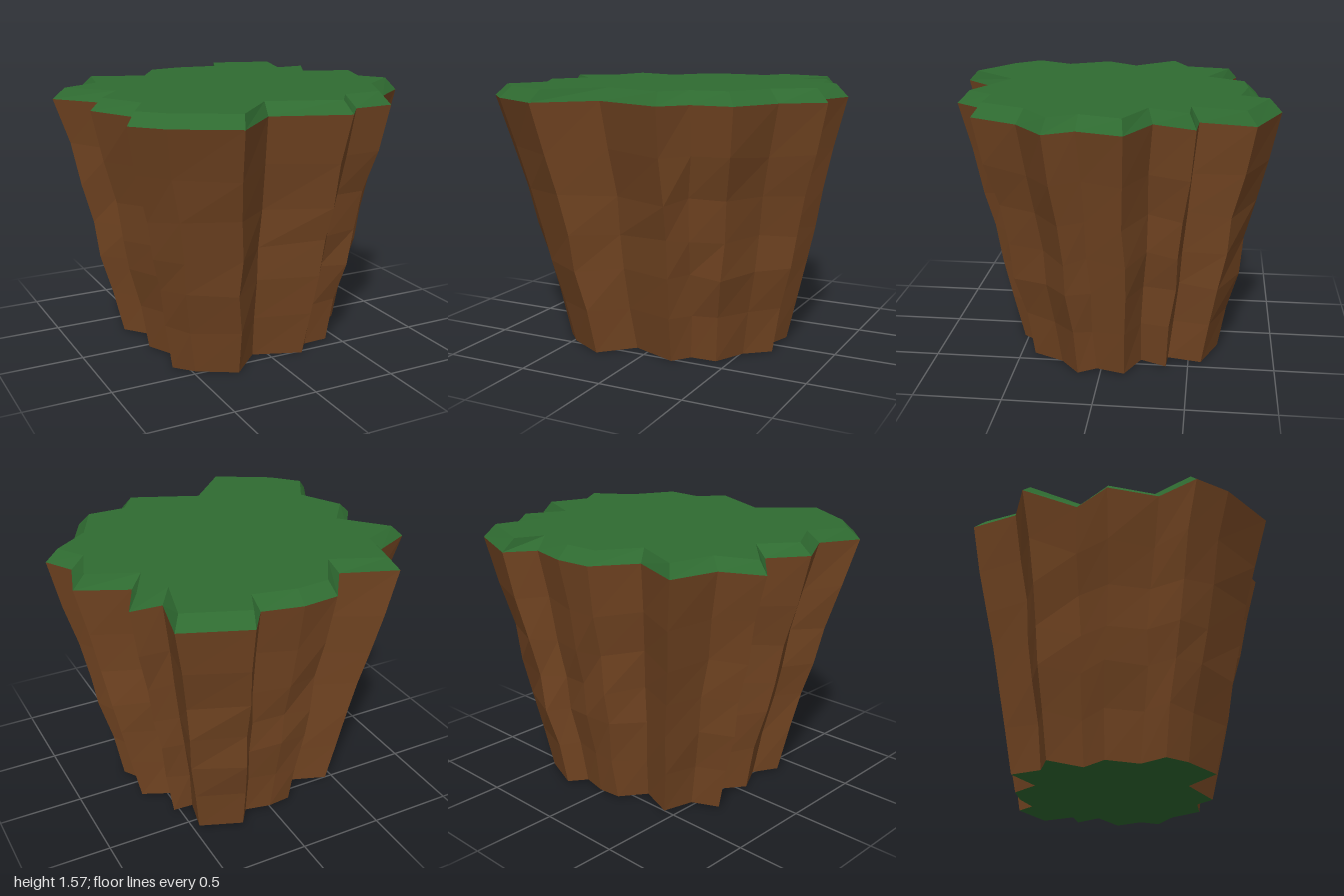
import * as THREE from 'three';

// Jagged rim outline as [x, z], clockwise seen from above, starting at the back
const RIM = [
  [0.33, -0.976], [0.70, -0.83], [0.63, -0.53], [0.81, -0.52], [0.70, -0.29],
  [0.98, -0.16], [0.90, 0.09], [0.995, 0.25], [0.78, 0.42], [0.64, 0.695],
  [0.40, 0.705], [0.28, 0.86], [-0.15, 0.70], [-0.425, 0.97], [-0.76, 0.78],
  [-0.91, 0.62], [-0.79, 0.39], [-0.93, 0.12], [-0.78, -0.09], [-1.0, -0.35],
  [-0.77, -0.46], [-0.70, -0.74], [-0.38, -0.62], [-0.22, -0.85], [-0.01, -0.87],
  [0.22, -0.82],
];
// Trunk levels as [height, scale]
const LEVELS = [
  [0.007, 0.65], [0.27, 0.705], [0.52, 0.765], [0.73, 0.81],
  [0.96, 0.86], [1.21, 0.925], [1.49, 1],
];

function seeded(seed) {
  return () => {
    seed = (seed * 16807) % 2147483647;
    return seed / 2147483647;
  };
}

// Joins stacked rings with outward-facing quads
function skin(rings) {
  const n = RIM.length;
  const index = [];
  for (let r = 0; r < rings.length - 1; r++) {
    for (let i = 0; i < n; i++) {
      const j = (i + 1) % n;
      const a = r * n + i, b = r * n + j;
      index.push(b, a, a + n, b, a + n, b + n);
    }
  }
  return toGeometry(rings.flat(), index);
}

// Fills one ring, facing up or down
function cap(ring, up) {
  const flat = ring.map((p) => new THREE.Vector2(p.x, p.z));
  const index = [];
  for (const [a, b, c] of THREE.ShapeUtils.triangulateShape(flat, [])) {
    const u = flat[b].clone().sub(flat[a]);
    const v = flat[c].clone().sub(flat[a]);
    const facesUp = u.cross(v) < 0;
    if (facesUp === up) index.push(a, b, c);
    else index.push(a, c, b);
  }
  return toGeometry(ring, index);
}

function toGeometry(points, index) {
  const g = new THREE.BufferGeometry().setFromPoints(points);
  g.setIndex(index);
  const flat = g.toNonIndexed();
  flat.computeVertexNormals();
  return flat;
}

export function createModel() {
  const bark = new THREE.MeshStandardMaterial({ color: 0x734522 });
  bark.name = 'brown earth';
  const grass = new THREE.MeshStandardMaterial({ color: 0x2f6b31 });
  grass.name = 'green grass';
  const random = seeded(37);

  // Trunk rings: tapered outline with a slight wobble between base and rim
  const trunkRings = LEVELS.map(([y, s], level) => {
    const wobble = level > 0 && level < LEVELS.length - 1 ? 0.022 : 0;
    const base = level === 0 ? -0.008 : 0;
    return RIM.map(([x, z]) => new THREE.Vector3(
      x * s + 0.03 * (1 - s) + (random() - 0.5) * wobble,
      y + base * z + (random() - 0.5) * wobble * 1.5,
      z * s - 0.1 * (1 - s) + (random() - 0.5) * wobble,
    ));
  });

  // Bevelled upper edge, drawn in towards the centre
  const lower = trunkRings[trunkRings.length - 1];
  const upper = RIM.map(([x, z], i) => {
    const k = 1 - 0.072 / Math.hypot(x, z);
    const notch = i === RIM.length - 1 ? 0.035 : 0;
    return new THREE.Vector3(x * k + notch, 1.56 + 0.005 * x, z * k);
  });

  const group = new THREE.Group();
  const add = (name, geometry, material) => {
    const mesh = new THREE.Mesh(geometry, material);
    mesh.name = name;
    group.add(mesh);
  };
  add('trunk', skin(trunkRings), bark);
  add('grassRim', skin([lower, upper]), grass);
  add('grassTop', cap(upper, true), grass);
  add('base', cap(trunkRings[0], false), grass);
  return group;
}
